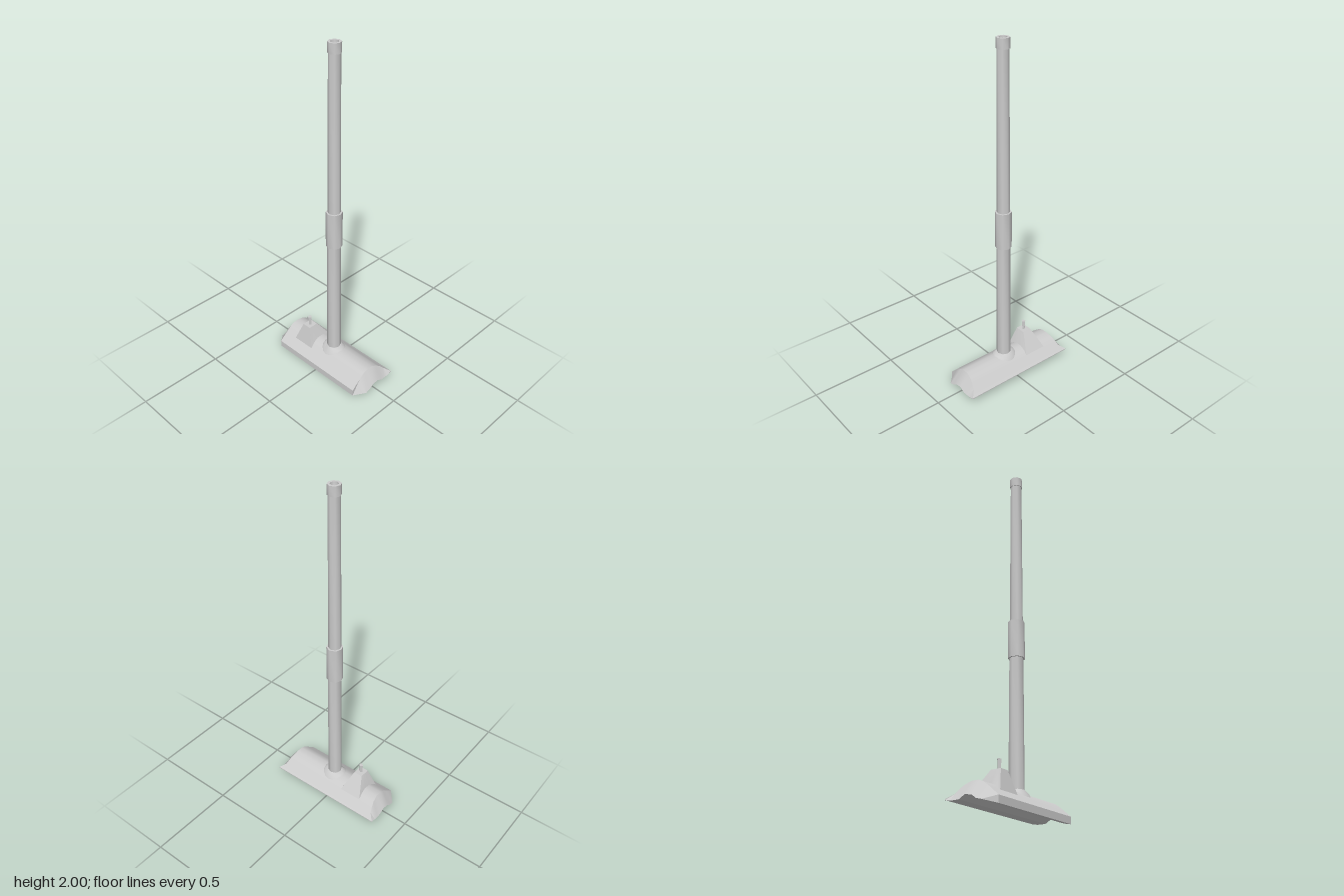
import * as THREE from 'three';
import { toCreasedNormals } from 'three/addons/utils/BufferGeometryUtils.js';

const material = new THREE.MeshStandardMaterial({ color: 0xcccccc });

function part(name, geometry, crease = 0.9) {
  const mesh = new THREE.Mesh(toCreasedNormals(geometry, crease), material);
  mesh.name = name;
  return mesh;
}

// Skin a list of closed rings of [x, y, z] points and cap both ends
function loft(rings) {
  const n = rings[0].length, index = [];
  for (let i = 0; i < rings.length - 1; i++) {
    for (let j = 0; j < n; j++) {
      const a = i * n + j, b = i * n + (j + 1) % n;
      index.push(a, b, a + n, b, b + n, a + n);
    }
  }
  const last = (rings.length - 1) * n;
  for (let j = 1; j < n - 1; j++) {
    index.push(0, j + 1, j, last, last + j, last + j + 1);
  }
  const geometry = new THREE.BufferGeometry();
  geometry.setAttribute('position', new THREE.Float32BufferAttribute(rings.flat(2), 3));
  geometry.setIndex(index);
  return geometry;
}

// Head sections, front to back: z, top y, top half length, bottom y, bottom half length
const sections = [
  [0.135, 0.04, 0.305, 0.002, 0.305],
  [0.077, 0.09, 0.305, 0.018, 0.357],
  [0.045, 0.114, 0.305, 0.027, 0.357],
  [0.02, 0.124, 0.305, 0.046, 0.357],
  [-0.02, 0.125, 0.305, 0.052, 0.357],
  [-0.055, 0.112, 0.31, 0.033, 0.357],
  [-0.08, 0.095, 0.317, 0.033, 0.357],
  [-0.105, 0.07, 0.325, 0.034, 0.357],
  [-0.137, 0.045, 0.357, 0.04, 0.357],
];

// Height of the head's upper surface at a given z
function headTop(z) {
  for (let i = 0; i < sections.length - 1; i++) {
    const [z0, y0] = sections[i], [z1, y1] = sections[i + 1];
    if (z <= z0 && z >= z1) return y0 + (y1 - y0) * (z0 - z) / (z0 - z1);
  }
  return 0.04;
}

const circle = (r, n, y) => Array.from({ length: n }, (_, i) => {
  const a = i / n * Math.PI * 2;
  return [Math.sin(a) * r, y, Math.cos(a) * r];
});

// Square ring with points along each side, counterclockwise from above
function square(halfX, halfZ, steps, place) {
  const corners = [[-1, 1], [1, 1], [1, -1], [-1, -1]], ring = [];
  corners.forEach(([x, z], k) => {
    const [nx, nz] = corners[(k + 1) % 4];
    for (let i = 0; i < steps; i++) {
      const t = i / steps;
      ring.push(place((x + (nx - x) * t) * halfX, (z + (nz - z) * t) * halfZ));
    }
  });
  return ring;
}

const lathe = (points) => new THREE.LatheGeometry(points.map(([r, y]) => new THREE.Vector2(r, y)), 8);

export function createModel() {
  const group = new THREE.Group();

  // Arched head with bevelled ends
  group.add(part('head', loft(sections.map(([z, top, xTop, bottom, xBottom]) => [
    [-xTop, top, z], [xTop, top, z], [xBottom, bottom, z], [-xBottom, bottom, z],
  ])), 0.45));

  // Pole: lower tube, joining sleeve, upper tube and hollow end cap
  const pole = new THREE.Group();
  pole.name = 'pole';
  pole.position.set(0.021, 0, 0);
  pole.add(
    part('lowerTube', lathe([[0.001, 0.1], [0.041, 0.1], [0.038, 0.86]])),
    part('sleeve', lathe([[0.036, 0.845], [0.046, 0.845], [0.046, 1.06], [0.033, 1.06]])),
    part('upperTube', lathe([[0.036, 1.05], [0.032, 1.95]])),
    part('endCap', lathe([[0.03, 1.945], [0.036, 1.945], [0.036, 2], [0.022, 2], [0.02, 1.96], [0.001, 1.945]])),
  );

  // Flange draped over the head around the pole
  const outer = circle(0.074, 16, 0).map(([x, , z]) => [x, headTop(z) - 0.006, z]);
  const middle = circle(0.064, 16, 0).map(([x, , z]) => [x, headTop(z) + 0.006, z]);
  pole.add(part('flange', loft([outer, middle, circle(0.042, 16, 0.137)])));
  group.add(pole);

  // Flared pedal straddling the arch, with a small pin on top
  const pedal = new THREE.Group();
  pedal.name = 'pedal';
  pedal.position.x = -0.156;
  const base = square(0.07, 0.084, 8, (x, z) => {
    const pinch = 0.86 + 0.14 * (z / 0.084) ** 2;
    return [x * pinch, headTop(z) - 0.001, z];
  });
  const top = square(0.027, 0.03, 8, (x, z) => [x, 0.2, z + 0.025]);
  pedal.add(part('pedalBody', loft([base, top]), 0.8));
  const pin = part('pin', new THREE.CylinderGeometry(0.013, 0.009, 0.06, 4), 0.5);
  pin.position.set(0, 0.225, 0.025);
  pedal.add(pin);
  group.add(pedal);

  return group;
}
